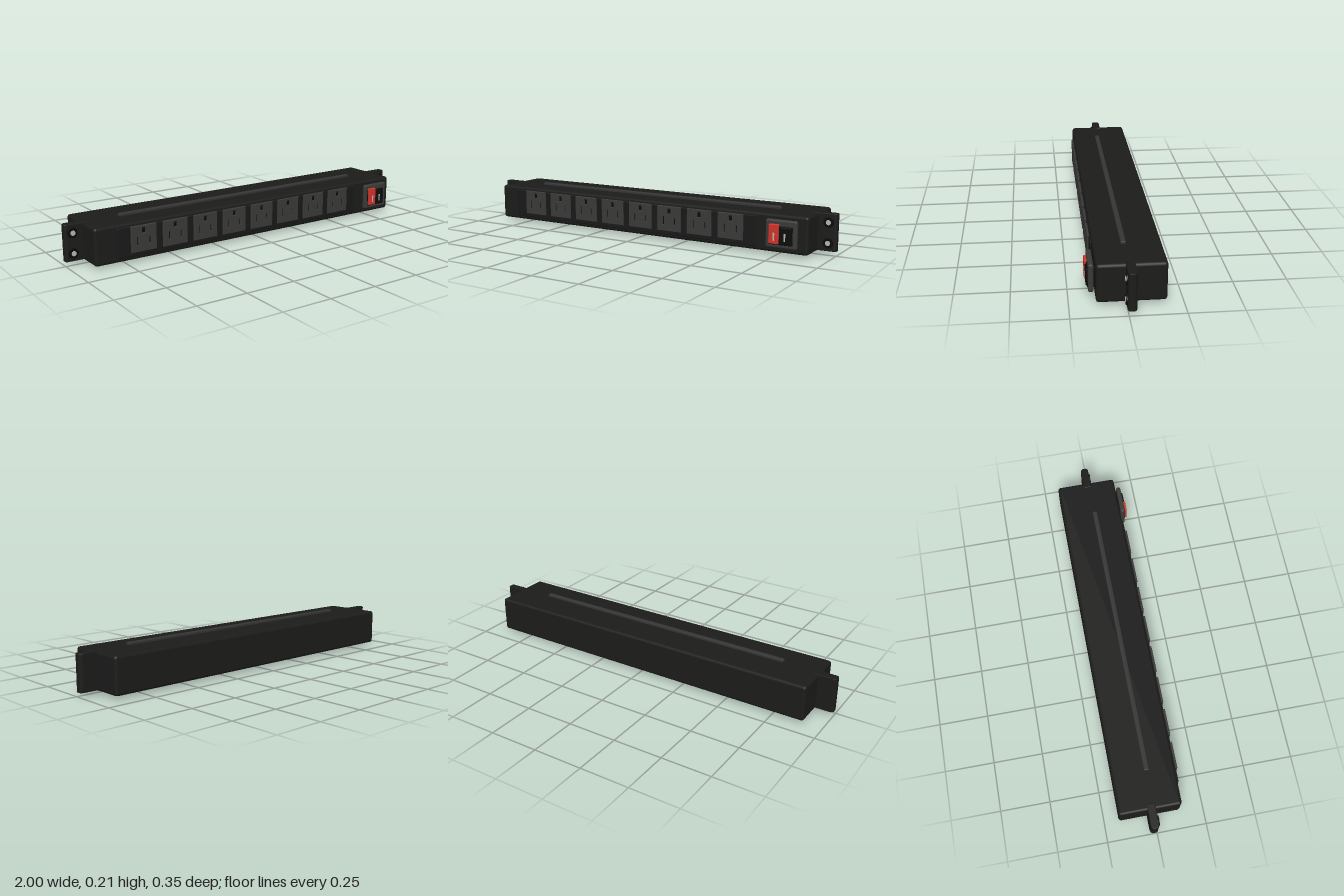
import * as THREE from 'three';
import { RoundedBoxGeometry } from 'three/addons/geometries/RoundedBoxGeometry.js';

const mat = (color) => new THREE.MeshStandardMaterial({ color });
const black = mat(0x1c1c1b), dark = mat(0x0c0c0c), plate = mat(0x191919), grey = mat(0x3a3a39);
const rail = mat(0x353535), red = mat(0xd0342a), metal = mat(0xb8b8b4);

export function createModel() {
  const group = new THREE.Group();
  const add = (name, geometry, material, x = 0, y = 0, z = 0, parent = group) => {
    const mesh = new THREE.Mesh(geometry, material);
    mesh.name = name;
    mesh.position.set(x, y, z);
    parent.add(mesh);
    return mesh;
  };
  // Rounded box given by its extents
  const block = (name, material, [x0, x1], [y0, y1], [z0, z1], r = 0.004) =>
    add(name, new RoundedBoxGeometry(x1 - x0, y1 - y0, z1 - z0, 2, r), material,
      (x0 + x1) / 2, (y0 + y1) / 2, (z0 + z1) / 2);
  const rectPath = (path, x, y, w, h) => path
    .moveTo(x - w / 2, y - h / 2).lineTo(x + w / 2, y - h / 2)
    .lineTo(x + w / 2, y + h / 2).lineTo(x - w / 2, y + h / 2).closePath();

  // Housing with a thin rail along top and bottom
  block('housing', black, [-0.91, 0.91], [0.015, 0.198], [-0.177, 0.133], 0.014);
  block('topRail', rail, [-0.72, 0.72], [0.19, 0.21], [-0.016, 0.008]);
  block('bottomRail', rail, [-0.72, 0.72], [0, 0.02], [-0.016, 0.008]);

  // Front plate carrying the sockets
  block('socketPlate', plate, [-0.8, 0.65], [0.033, 0.182], [0.12, 0.14], 0.005);

  // Socket face with a ground hole over two blade slots
  const face = rectPath(new THREE.Shape(), 0, 0, 0.13, 0.124);
  const ground = new THREE.Path();
  ground.moveTo(-0.011, 0.024).lineTo(0.011, 0.024).lineTo(0.011, 0.043)
    .absarc(0, 0.043, 0.011, 0, Math.PI, false).lineTo(-0.011, 0.024);
  face.holes.push(ground,
    rectPath(new THREE.Path(), -0.032, -0.012, 0.011, 0.044),
    rectPath(new THREE.Path(), 0.032, -0.012, 0.011, 0.036));
  const faceGeometry = new THREE.ExtrudeGeometry(face, {
    depth: 0.007, bevelThickness: 0.002, bevelSize: 0.002, bevelSegments: 1, curveSegments: 8,
  });
  const backGeometry = new THREE.PlaneGeometry(0.12, 0.115);
  for (let i = 0; i < 8; i++) {
    const socket = new THREE.Group();
    socket.name = 'socket';
    socket.position.set(-0.666 + i * 0.1696, 0.118, 0.139);
    add('socketFace', faceGeometry, grey, 0, 0, 0, socket);
    add('socketRecess', backGeometry, dark, 0, 0, 0.0015, socket);
    group.add(socket);
  }

  // Switch: bezel, dark well, raised red half and lower black half
  block('switchNeck', dark, [0.73, 0.85], [0.06, 0.16], [0.12, 0.145]);
  block('switchBezel', grey, [0.71, 0.865], [0.043, 0.178], [0.139, 0.163], 0.009);
  block('switchWell', dark, [0.727, 0.846], [0.06, 0.15], [0.155, 0.166], 0.003);
  block('redRocker', red, [0.73, 0.78], [0.064, 0.158], [0.158, 0.175], 0.004);
  block('blackRocker', dark, [0.785, 0.842], [0.066, 0.146], [0.158, 0.172], 0.004);
  block('redRockerMark', metal, [0.753, 0.761], [0.08, 0.118], [0.172, 0.177], 0.001);
  block('blackRockerMark', metal, [0.806, 0.814], [0.08, 0.118], [0.17, 0.1735], 0.001);

  // Mounting ears with two bolts each
  const profile = new THREE.Shape();
  profile.moveTo(0.88, -0.036).lineTo(0.982, -0.036).quadraticCurveTo(0.998, -0.033, 1, -0.022)
    .lineTo(1, -0.006).quadraticCurveTo(0.998, 0.003, 0.988, 0.005).lineTo(0.88, 0.005).closePath();
  const earGeometry = new THREE.ExtrudeGeometry(profile, {
    depth: 0.174, bevelThickness: 0.003, bevelSize: 0.003, bevelOffset: -0.003, bevelSegments: 2,
  });
  earGeometry.rotateX(Math.PI / 2);
  // After the turn the profile's second axis runs along +z
  const washerGeometry = new THREE.CylinderGeometry(0.024, 0.025, 0.008, 24).rotateX(Math.PI / 2);
  const boltGeometry = new THREE.CylinderGeometry(0.012, 0.013, 0.006, 16).rotateX(Math.PI / 2);
  for (const side of [-1, 1]) {
    const ear = add('mountingEar', earGeometry, black, 0, 0.197, 0);
    if (side < 0) {
      ear.rotation.z = Math.PI;
      ear.position.y = 0.023;
    }
    for (const y of [0.059, 0.158]) {
      add('boltWasher', washerGeometry, dark, side * 0.96, y, 0.007);
      add('bolt', boltGeometry, metal, side * 0.96, y, 0.0105);
    }
  }
  return group;
}
